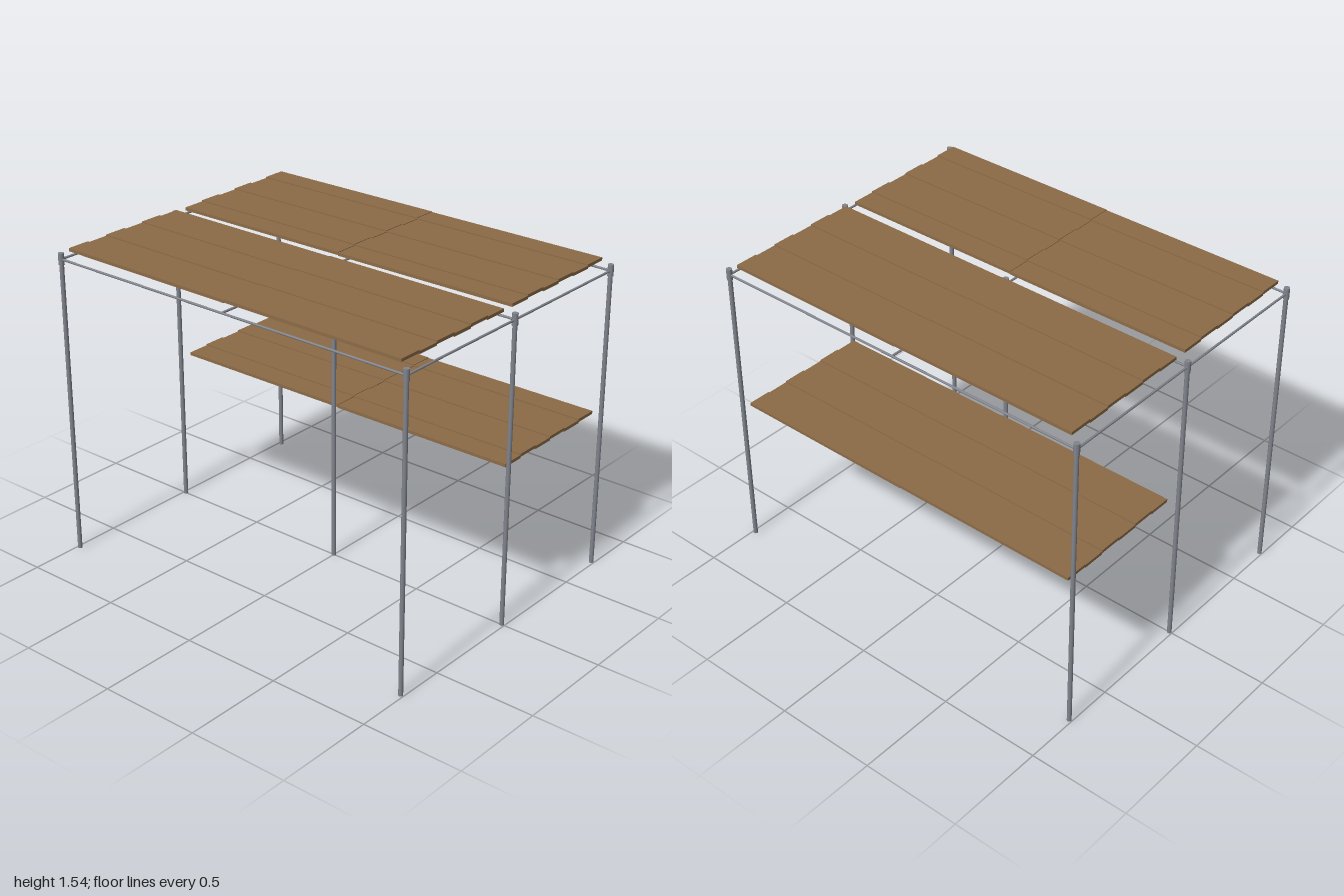
import * as THREE from 'three';

const steel = new THREE.MeshStandardMaterial({ color: 0x80848c });
const wood = new THREE.MeshStandardMaterial({ color: 0x8b6b47 });

const X = 0.986, Z = 0.735;          // post centre lines
const POST_H = 1.517, RAIL_Y = 1.487;

function add(parent, name, geometry, material, x, y, z) {
  const mesh = new THREE.Mesh(geometry, material);
  mesh.name = name;
  mesh.position.set(x, y, z);
  parent.add(mesh);
  return mesh;
}

// Upright tube with a wider socket at its top
function post(x, z) {
  const g = new THREE.Group();
  g.name = 'post';
  add(g, 'postTube', new THREE.CylinderGeometry(0.0108, 0.0108, POST_H, 16), steel, 0, POST_H / 2, 0);
  add(g, 'postSocket', new THREE.CylinderGeometry(0.014, 0.014, 0.055, 16), steel, 0, POST_H - 0.0275, 0);
  g.position.set(x, 0, z);
  return g;
}

// Deck of six boards stepped alternately low and high, each in two
// lengths that rise slightly toward +x; it runs from z = -0.03 to -0.72
function deck(name, y) {
  const g = new THREE.Group();
  g.name = name;
  const width = 0.115, length = 0.948;
  for (let i = 0; i < 6; i++) {
    for (const side of [-1, 1]) {
      const board = add(g, 'board', new THREE.BoxGeometry(length, 0.015, width), wood,
        side * length / 2, y + (i % 2 ? 0.0028 : -0.0028), -0.03 - width * (i + 0.5));
      board.rotation.z = 0.003;
    }
  }
  return g;
}

export function createModel() {
  const model = new THREE.Group();
  model.name = 'plankedFrame';

  // Posts: three along each side and one in the centre
  for (const x of [-X, X]) for (const z of [-Z, 0, Z]) model.add(post(x, z));
  model.add(post(0, 0));

  // Top rails, three in each direction
  for (const z of [-Z, 0, Z]) {
    add(model, 'longRail', new THREE.CylinderGeometry(0.0055, 0.0055, 2 * X, 12), steel, 0, RAIL_Y, z)
      .rotation.z = Math.PI / 2;
  }
  for (const x of [-X, 0, X]) {
    add(model, 'crossRail', new THREE.CylinderGeometry(0.0055, 0.0055, 2 * Z, 12), steel, x, RAIL_Y, 0)
      .rotation.x = Math.PI / 2;
  }

  // Two roof decks, the front one turned half round, and the back shelf
  model.add(deck('backRoof', 1.533));
  const frontRoof = deck('frontRoof', 1.533);
  frontRoof.rotation.y = Math.PI;
  model.add(frontRoof);
  model.add(deck('backShelf', 0.78));

  return model;
}
